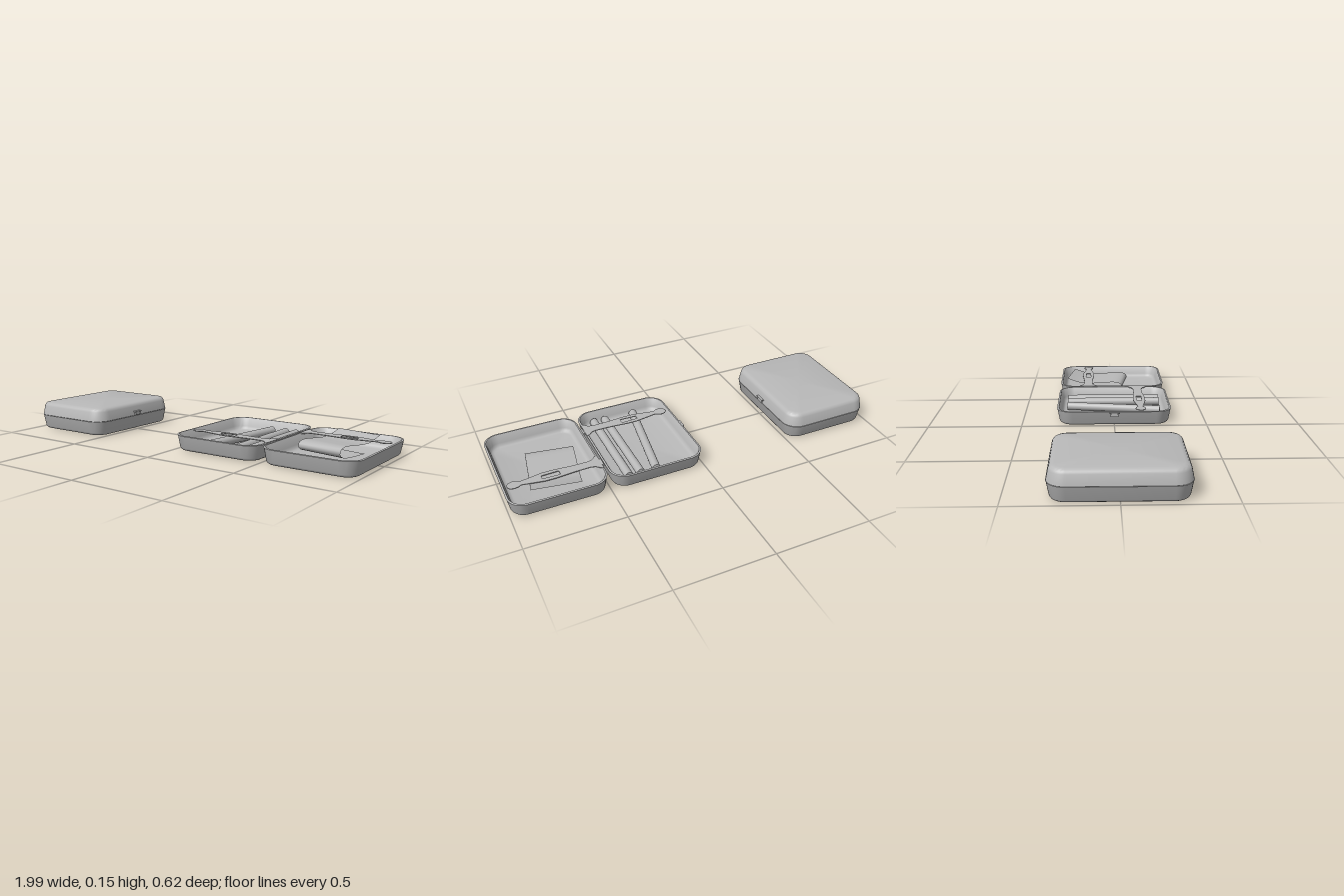
import * as THREE from 'three';
import { toCreasedNormals } from 'three/addons/utils/BufferGeometryUtils.js';

const metal = new THREE.MeshStandardMaterial({ color: 0xb8b8b8, side: THREE.DoubleSide });
metal.name = 'grey metal';

const HALF_W = 0.248, HALF_D = 0.311, CORNER = 0.085;

function part(name, geometry, parent, x = 0, y = 0, z = 0) {
  const mesh = new THREE.Mesh(geometry, metal);
  mesh.name = name;
  mesh.position.set(x, y, z);
  parent.add(mesh);
  return mesh;
}

// Stacked rounded rectangles; profile is a list of [inset, y], capped at both ends
function roundedLoft(profile, steps = 10) {
  const pos = [], index = [], n = 4 * (steps + 1);
  for (const [inset, y] of profile) {
    const r = CORNER - inset;
    for (let c = 0; c < 4; c++) {
      const sx = c === 0 || c === 3 ? 1 : -1, sz = c < 2 ? 1 : -1;
      for (let s = 0; s <= steps; s++) {
        const a = (c + s / steps) * Math.PI / 2;
        pos.push(sx * (HALF_W - CORNER) + r * Math.cos(a), y, sz * (HALF_D - CORNER) + r * Math.sin(a));
      }
    }
  }
  const last = profile.length - 1;
  for (let j = 0; j < last; j++) {
    for (let i = 0; i < n; i++) {
      const k = (i + 1) % n, a = j * n, b = a + n;
      index.push(a + i, b + i, a + k, a + k, b + i, b + k);
    }
  }
  const base = pos.length / 3;
  pos.push(0, profile[0][1], 0, 0, profile[last][1], 0);
  for (let i = 0; i < n; i++) {
    const k = (i + 1) % n;
    index.push(base, i, k, base + 1, last * n + k, last * n + i);
  }
  const g = new THREE.BufferGeometry();
  g.setAttribute('position', new THREE.Float32BufferAttribute(pos, 3));
  g.setIndex(index);
  return toCreasedNormals(g, 0.6);
}

const outerProfile = [[0.038, 0], [0.026, 0.002], [0.018, 0.007], [0.013, 0.015], [0.002, 0.074], [0, 0.079]];
const innerProfile = [[0.003, 0.081], [0.009, 0.081], [0.012, 0.078], [0.022, 0.034],
  [0.027, 0.022], [0.034, 0.015], [0.046, 0.012]];
const lidProfile = [[0.004, 0.079], [0.001, 0.081], [0.003, 0.09], [0.011, 0.13],
  [0.016, 0.14], [0.024, 0.147], [0.04, 0.151]];

// Push-button latch on a side wall, facing dir along x
function latch(parent, x, y, dir) {
  const g = new THREE.Group();
  g.name = 'latch';
  part('latchTab', new THREE.BoxGeometry(0.012, 0.012, 0.042), g, 0, 0, 0);
  part('latchNeck', new THREE.BoxGeometry(0.008, 0.006, 0.03), g, 0, 0.008, 0);
  part('latchBar', new THREE.BoxGeometry(0.014, 0.006, 0.056), g, 0.002 * dir, 0.013, 0);
  g.position.set(x, y, 0);
  parent.add(g);
}

// Thin holding arm: flared hinge end at x = 0, round knob at the tip, slot in the middle
function armGeometry() {
  const edge = [[0, 0.052], [0.015, 0.05], [0.035, 0.03], [0.06, 0.024], [0.14, 0.026], [0.24, 0.034],
    [0.29, 0.034], [0.36, 0.022], [0.405, 0.014], [0.42, 0.024], [0.44, 0.028], [0.46, 0.022], [0.47, 0.008]];
  const all = [...edge, ...edge.map(([x, w]) => [x, -w]).reverse()];
  const shape = new THREE.Shape(all.map(p => new THREE.Vector2(...p)));
  const slot = [[0.21, -0.015], [0.21, 0.015], [0.3, 0.012], [0.3, -0.012]];
  shape.holes.push(new THREE.Path(slot.map(p => new THREE.Vector2(...p))));
  const g = new THREE.ExtrudeGeometry(shape, { depth: 0.004, bevelEnabled: false });
  g.rotateX(-Math.PI / 2);
  return g;
}

// Sheet bent along its length and folded under at the front
function sheetGeometry() {
  const curve = new THREE.CatmullRomCurve3([
    [-0.17, 0.093], [-0.13, 0.08], [-0.08, 0.068], [-0.02, 0.068], [0.06, 0.076], [0.13, 0.08],
    [0.16, 0.07], [0.165, 0.05], [0.14, 0.03], [0.08, 0.022], [-0.04, 0.02],
  ].map(([z, y]) => new THREE.Vector3(0, y, z)));
  const rows = 40, g = new THREE.PlaneGeometry(0.245, 1, 1, rows);
  const p = g.attributes.position;
  for (let i = 0; i < p.count; i++) {
    const c = curve.getPointAt(Math.floor(i / 2) / rows);
    p.setXYZ(i, p.getX(i), c.y, c.z);
  }
  g.computeVertexNormals();
  return g;
}

export function createModel() {
  const model = new THREE.Group();
  model.name = 'slimCases';

  // Closed case
  const closed = new THREE.Group();
  closed.name = 'closedCase';
  closed.position.x = -0.747;
  part('lowerShell', roundedLoft([...outerProfile, [0.004, 0.079]]), closed);
  part('upperShell', roundedLoft(lidProfile), closed);
  latch(closed, HALF_W, 0.089, 1);
  model.add(closed);

  // Open case: two trays side by side
  const open = new THREE.Group();
  open.name = 'openCase';
  const tray = roundedLoft([...outerProfile, ...innerProfile]);
  part('leftTray', tray, open, 0.243, 0, 0);
  part('rightTray', tray, open, 0.75, 0, 0);
  latch(open, -0.005, 0.06, -1);

  // Hinges and arms
  const arm = armGeometry();
  for (const side of [-1, 1]) {
    const z = 0.145 * side;
    const pin = part('hingePin', new THREE.CylinderGeometry(0.006, 0.006, 0.05, 12), open, 0.497, 0.074, z);
    pin.rotation.x = Math.PI / 2;
    part('hingeBracket', new THREE.BoxGeometry(0.016, 0.012, 0.04), open, 0.497 - 0.012 * side, 0.074, z);
    const holder = part('holdingArm', arm, open, 0.497 - 0.006 * side, 0.078, z);
    if (side > 0) holder.rotation.y = Math.PI;
  }

  // Rolled sticks lying in the tray
  for (const [x, z, angle] of [[0.21, 0, -0.155], [0.333, 0.002, 0], [0.396, 0.002, 0]]) {
    const stick = part('stick', new THREE.CylinderGeometry(0.022, 0.022, 0.525, 20), open, x, 0.036, z);
    stick.rotation.set(Math.PI / 2, 0, -angle);
    stick.rotation.order = 'YXZ';
    stick.rotation.set(Math.PI / 2, angle, 0);
  }

  // Folded paper under the second arm
  const paper = part('foldedPaper', sheetGeometry(), open, 0.73, 0, -0.085);
  paper.rotation.y = -0.17;
  model.add(open);
  return model;
}
